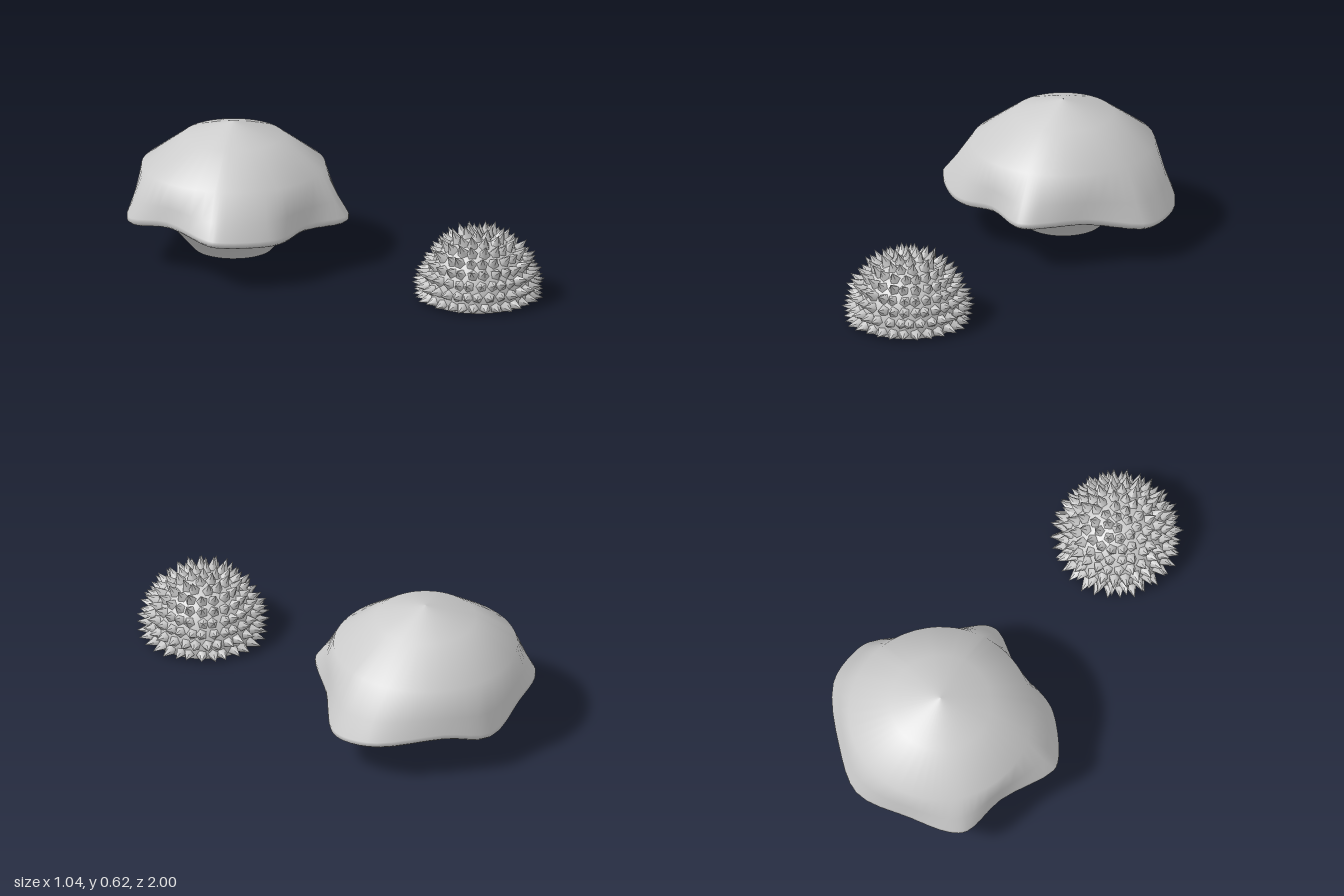
import * as THREE from 'three';
import { mergeGeometries } from 'three/addons/utils/BufferGeometryUtils.js';

const material = new THREE.MeshStandardMaterial({ color: 0xcccccc });

function addMesh(parent, geometry, name) {
  const mesh = new THREE.Mesh(geometry, material);
  mesh.name = name;
  parent.add(mesh);
  return mesh;
}

// Skin closed rings of equal length, ordered from the top down
function skin(rings) {
  const n = rings[0].length;
  const index = [];
  for (let i = 0; i < rings.length - 1; i++) {
    for (let j = 0; j < n; j++) {
      const a = i * n + j, b = i * n + (j + 1) % n;
      index.push(a, a + n, b, b, a + n, b + n);
    }
  }
  const g = new THREE.BufferGeometry();
  g.setAttribute('position', new THREE.Float32BufferAttribute(rings.flat().flatMap(p => p.toArray()), 3));
  g.setIndex(index);
  g.computeVertexNormals();
  return g;
}

function createMushroom() {
  const group = new THREE.Group();
  group.name = 'mushroom';

  // Drooping five-lobed rim, running counterclockwise from above
  const rim = new THREE.CatmullRomCurve3([
    [0.015, 0.17, -0.47], [-0.235, 0.21, -0.37], [-0.405, 0.215, -0.275],
    [-0.45, 0.215, -0.21], [-0.435, 0.24, -0.01], [-0.47, 0.22, 0.27],
    [-0.43, 0.215, 0.33], [-0.255, 0.205, 0.44], [-0.165, 0.205, 0.455],
    [-0.005, 0.22, 0.44], [0.195, 0.215, 0.49], [0.25, 0.215, 0.465],
    [0.30, 0.215, 0.39], [0.385, 0.21, 0.23], [0.53, 0.17, 0.02],
    [0.535, 0.165, -0.07], [0.475, 0.185, -0.23], [0.225, 0.21, -0.40],
  ].map(p => new THREE.Vector3(...p)), true, 'centripetal').getPoints(72).slice(0, -1);

  const circle = (r, y) => rim.map(p => {
    const k = r / Math.hypot(p.x, p.z);
    return new THREE.Vector3(p.x * k, y, p.z * k);
  });
  const lip = (scale, dy) => rim.map(p => new THREE.Vector3(p.x * scale, p.y + dy, p.z * scale));
  const shoulder = circle(0.41, 0.42);
  const skirt = rim.map((p, i) => shoulder[i].clone().lerp(p, 0.6));

  // Cap from the crown over the lip and into the stem
  addMesh(group, skin([
    circle(0.001, 0.62), circle(0.225, 0.555), shoulder, skirt,
    lip(1, 0.012), lip(1, -0.008), lip(0.97, -0.02), lip(0.88, -0.012),
    circle(0.33, 0.2), circle(0.175, 0.03),
  ]), 'capAndStem');
  addMesh(group, skin([circle(0.175, 0.03), circle(0.001, 0.004)]), 'stemBase');

  group.position.set(-0.045, 0, -0.53);
  return group;
}

function createSpikyDome() {
  const group = new THREE.Group();
  group.name = 'spikyDome';
  const R = 0.24, lift = 0.05;
  let seed = 7;
  const random = () => (seed = (seed * 16807) % 2147483647) / 2147483647;

  // Body, a sphere cut off at the ground
  const body = new THREE.SphereGeometry(R, 40, 20, 0, Math.PI * 2, 0, Math.PI / 2 + Math.asin(lift / R));
  addMesh(group, body.translate(0, lift, 0), 'body');

  // Staggered rows of short pointed spikes
  const up = new THREE.Vector3(0, 1, 0);
  const spikes = [];
  for (let row = 0; row < 9; row++) {
    const lat = THREE.MathUtils.degToRad(-6 + row * 12);
    const count = Math.max(1, Math.round(30 * Math.cos(lat)));
    for (let i = 0; i < count; i++) {
      const a = (i + (row % 2) / 2 + (random() - 0.5) * 0.3) / count * Math.PI * 2;
      const dir = new THREE.Vector3(Math.cos(lat) * Math.cos(a), Math.sin(lat), Math.cos(lat) * Math.sin(a));
      const height = 0.058 + random() * 0.018;
      const spike = new THREE.ConeGeometry(0.03, height, 5, 1, true);
      spike.rotateY(random() * 6).translate(0, height / 2, 0);
      spike.applyQuaternion(new THREE.Quaternion().setFromUnitVectors(up, dir));
      spike.translate(dir.x * (R - 0.012), dir.y * (R - 0.012) + lift, dir.z * (R - 0.012));
      spikes.push(spike);
    }
  }
  const coat = mergeGeometries(spikes);
  const pos = coat.attributes.position;
  for (let i = 0; i < pos.count; i++) pos.setY(i, Math.max(0, pos.getY(i)));
  addMesh(group, coat, 'spikes');

  // Flat underside
  addMesh(group, new THREE.CircleGeometry(0.26, 40).rotateX(Math.PI / 2), 'underside');

  group.position.set(0.22, 0, 0.695);
  return group;
}

export function createModel() {
  const model = new THREE.Group();
  model.name = 'mushroomAndSpikyDome';
  model.add(createMushroom(), createSpikyDome());
  return model;
}
